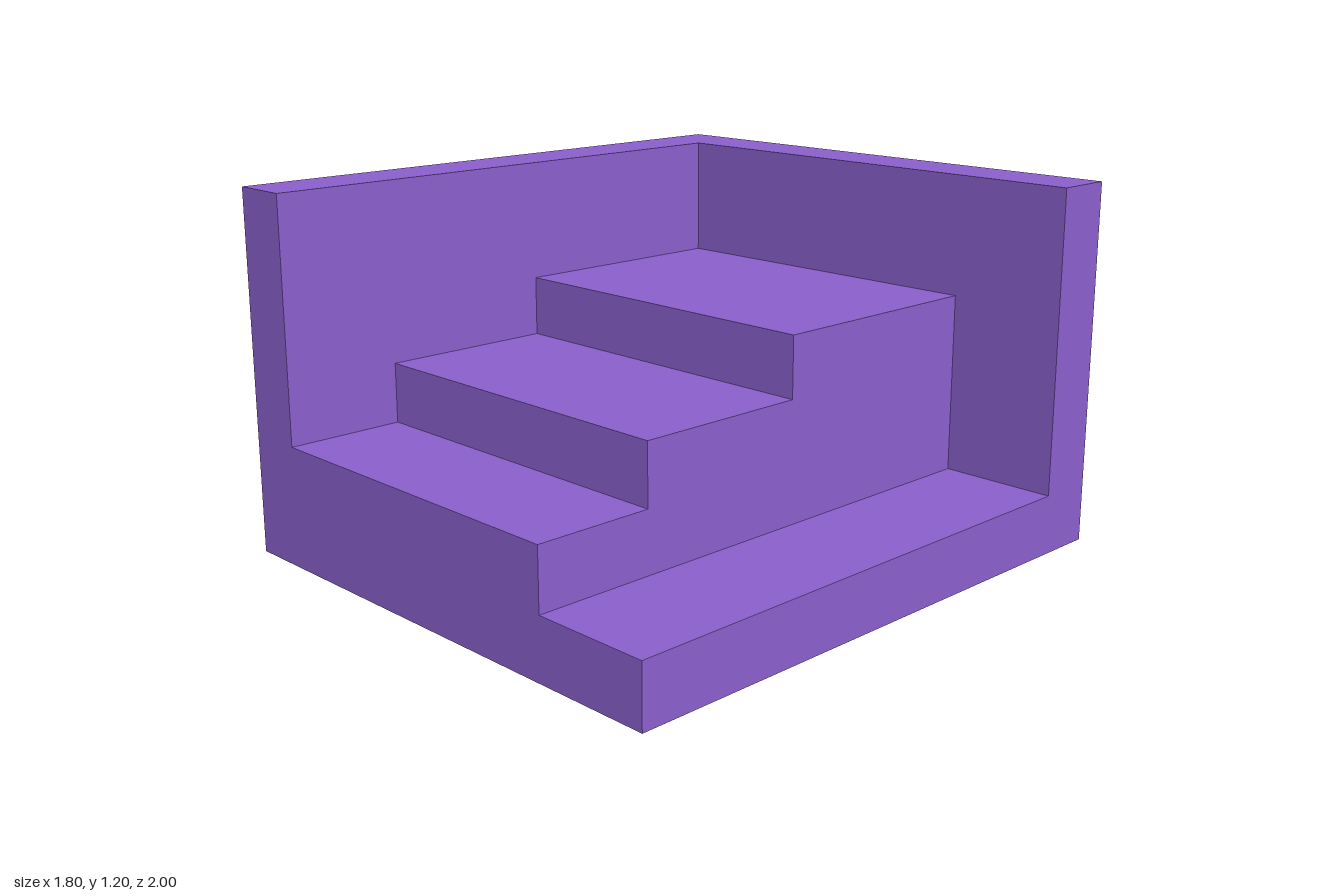
import * as THREE from 'three';

export function createModel() {
  const group = new THREE.Group();
  const material = new THREE.MeshStandardMaterial({ color: 0x8a5fcc, flatShading: true });

  function add(name, geometry) {
    const mesh = new THREE.Mesh(geometry, material);
    mesh.name = name;
    group.add(mesh);
    return mesh;
  }

  // Block given by its minimum and maximum corners
  function block(name, [x0, y0, z0], [x1, y1, z1]) {
    add(name, new THREE.BoxGeometry(x1 - x0, y1 - y0, z1 - z0))
      .position.set((x0 + x1) / 2, (y0 + y1) / 2, (z0 + z1) / 2);
  }

  // Floor slab and the two walls meeting at the back corner
  block('floorSlab', [-0.9, 0, -1], [0.9, 0.2, 1]);
  block('backWall', [-0.9, 0.2, -1], [0.9, 1.2, -0.8]);
  block('sideWall', [-0.9, 0.2, -0.8], [-0.7, 1.2, 1]);

  // Three steps: side profile in (z, y), extruded across x
  const profile = [
    [-0.8, 0.2], [1, 0.2], [1, 0.4], [0.6, 0.4],
    [0.6, 0.6], [0, 0.6], [0, 0.8], [-0.8, 0.8],
  ].map(([z, y]) => new THREE.Vector2(z, y));
  const steps = new THREE.ExtrudeGeometry(new THREE.Shape(profile), { depth: 1.2, bevelEnabled: false });
  steps.rotateY(-Math.PI / 2).translate(0.5, 0, 0);
  add('steps', steps);

  return group;
}
